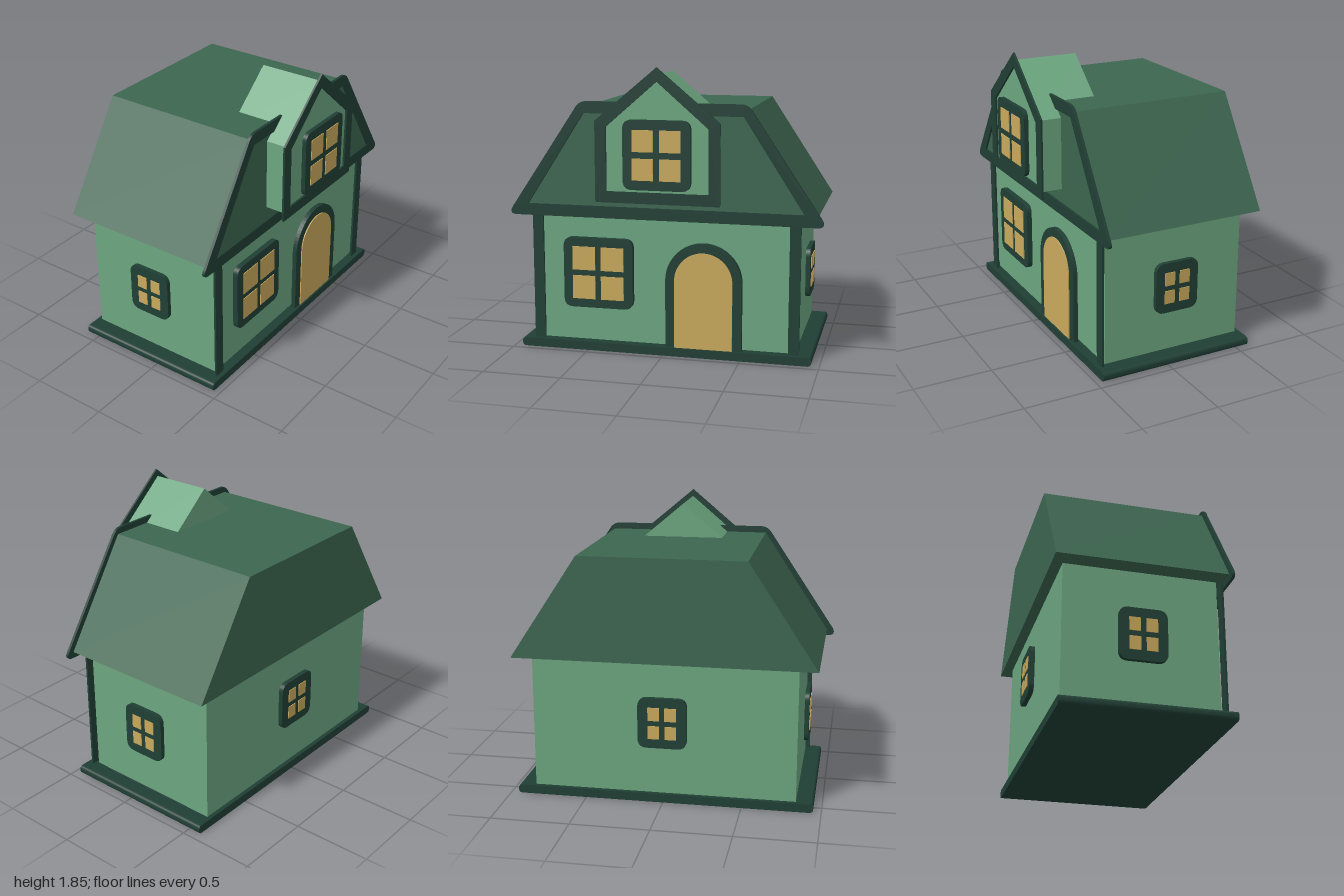
import * as THREE from 'three';

const mat = (name, color) => {
  const m = new THREE.MeshStandardMaterial({ color });
  m.name = name;
  return m;
};

// Polygon with optionally rounded corners; each corner is [x, y, cut length]
function polygon(points, Type = THREE.Shape) {
  const s = new Type();
  const n = points.length;
  const toward = (a, b, d) => {
    const l = Math.hypot(b[0] - a[0], b[1] - a[1]);
    return [a[0] + (b[0] - a[0]) * d / l, a[1] + (b[1] - a[1]) * d / l];
  };
  points.forEach((p, i) => {
    const d = p[2] || 0;
    const a = toward(p, points[(i + n - 1) % n], d);
    const b = toward(p, points[(i + 1) % n], d);
    if (i === 0) s.moveTo(...a); else s.lineTo(...a);
    if (d) s.quadraticCurveTo(p[0], p[1], ...b);
  });
  s.closePath();
  return s;
}

const rect = (x0, x1, y0, y1, r = 0) =>
  polygon([[x0, y0, r], [x1, y0, r], [x1, y1, r], [x0, y1, r]]);

const trapezoid = (bx, by, tx, ty, cb, ct, Type) =>
  polygon([[-bx, by, cb], [bx, by, cb], [tx, ty, ct], [-tx, ty, ct]], Type);

const gable = (x, y0, y1, peak, Type) =>
  polygon([[-x, y0], [x, y0], [x, y1], [0, peak], [-x, y1]], Type);

// Round-topped doorway outline
function arch(cx, r, y0, spring, Type = THREE.Shape) {
  const s = new Type();
  s.moveTo(cx - r, y0);
  s.lineTo(cx + r, y0);
  s.lineTo(cx + r, spring);
  s.absarc(cx, spring, r, 0, Math.PI, false);
  s.closePath();
  return s;
}

export function createModel() {
  const house = new THREE.Group();
  house.name = 'house';
  const wall = mat('wallGreen', 0x6ca680);
  const roof = mat('roofGreen', 0x3d6650);
  const trim = mat('trimDarkGreen', 0x203f35);
  const gold = mat('glowGold', 0xc9a95c);

  // Extrude a shape between two z positions
  const slab = (name, shape, z0, z1, material, parent = house) => {
    const g = new THREE.ExtrudeGeometry(shape, { depth: z1 - z0, bevelEnabled: false, curveSegments: 16 });
    g.translate(0, 0, z0);
    const m = new THREE.Mesh(g, material);
    m.name = name;
    parent.add(m);
    return m;
  };

  // Four-pane window facing +z: outer size, glazed size, bar width
  const addWindow = (name, size, glass, bar, depth, pos, turn = 0) => {
    const w = new THREE.Group();
    w.name = name;
    const [hx, hy] = [size[0] / 2, size[1] / 2];
    slab('windowFrame', rect(-hx, hx, -hy, hy, 0.06), 0, depth, trim, w);
    const pw = (glass[0] - bar) / 2, ph = (glass[1] - bar) / 2;
    for (const sx of [-1, 1]) for (const sy of [-1, 1]) {
      const pane = new THREE.Mesh(new THREE.BoxGeometry(pw, ph, 0.008), gold);
      pane.name = 'windowPane';
      pane.position.set(sx * (pw + bar) / 2, sy * (ph + bar) / 2, depth + 0.001);
      w.add(pane);
    }
    w.position.set(...pos);
    w.rotation.y = turn;
    house.add(w);
  };

  // Base and walls
  slab('base', rect(-0.95, 0.95, 0, 0.056, 0.025), -0.585, 0.457, trim);
  slab('walls', rect(-0.84, 0.84, 0.03, 0.925), -0.557, 0.393, wall);
  for (const s of [-1, 1]) {
    slab('cornerPost', rect(s * 0.835 - 0.035, s * 0.835 + 0.035, 0.05, 0.92), 0.413, 0.427, trim);
  }

  // Main roof and its front trim
  slab('roof', trapezoid(0.96, 0.92, 0.525, 1.58), -0.622, 0.44, roof);
  const roofTrim = trapezoid(1.03, 0.88, 0.535, 1.62, 0.065, 0.045);
  roofTrim.holes.push(trapezoid(0.89, 0.955, 0.51, 1.545, 0, 0, THREE.Path));
  slab('roofTrim', roofTrim, 0.435, 0.453, trim);

  // Dormer and its front trim
  slab('dormer', gable(0.355, 1.045, 1.5, 1.8), 0.168, 0.573, wall);
  const dormerTrim = gable(0.393, 1.01, 1.515, 1.845);
  dormerTrim.holes.push(gable(0.322, 1.08, 1.48, 1.76, THREE.Path));
  slab('dormerTrim', dormerTrim, 0.58, 0.593, trim);

  // Front door
  const doorFrame = arch(0.26, 0.246, 0.05, 0.495);
  doorFrame.holes.push(arch(0.26, 0.187, 0.055, 0.495, THREE.Path));
  slab('doorFrame', doorFrame, 0.41, 0.44, trim);
  slab('door', arch(0.26, 0.187, 0.055, 0.495), 0.415, 0.447, gold);

  // Windows
  addWindow('frontWindow', [0.46, 0.46], [0.34, 0.345], 0.037, 0.035, [-0.43, 0.513, 0.405]);
  addWindow('dormerWindow', [0.425, 0.43], [0.305, 0.31], 0.04, 0.028, [0.005, 1.315, 0.595]);
  addWindow('leftWindow', [0.295, 0.33], [0.173, 0.205], 0.034, 0.028, [0.86, 0.497, -0.081], Math.PI / 2);
  addWindow('rightWindow', [0.295, 0.33], [0.173, 0.205], 0.034, 0.028, [-0.86, 0.497, -0.081], -Math.PI / 2);
  addWindow('backWindow', [0.31, 0.325], [0.18, 0.205], 0.034, 0.03, [0, 0.535, -0.577], Math.PI);

  return house;
}
